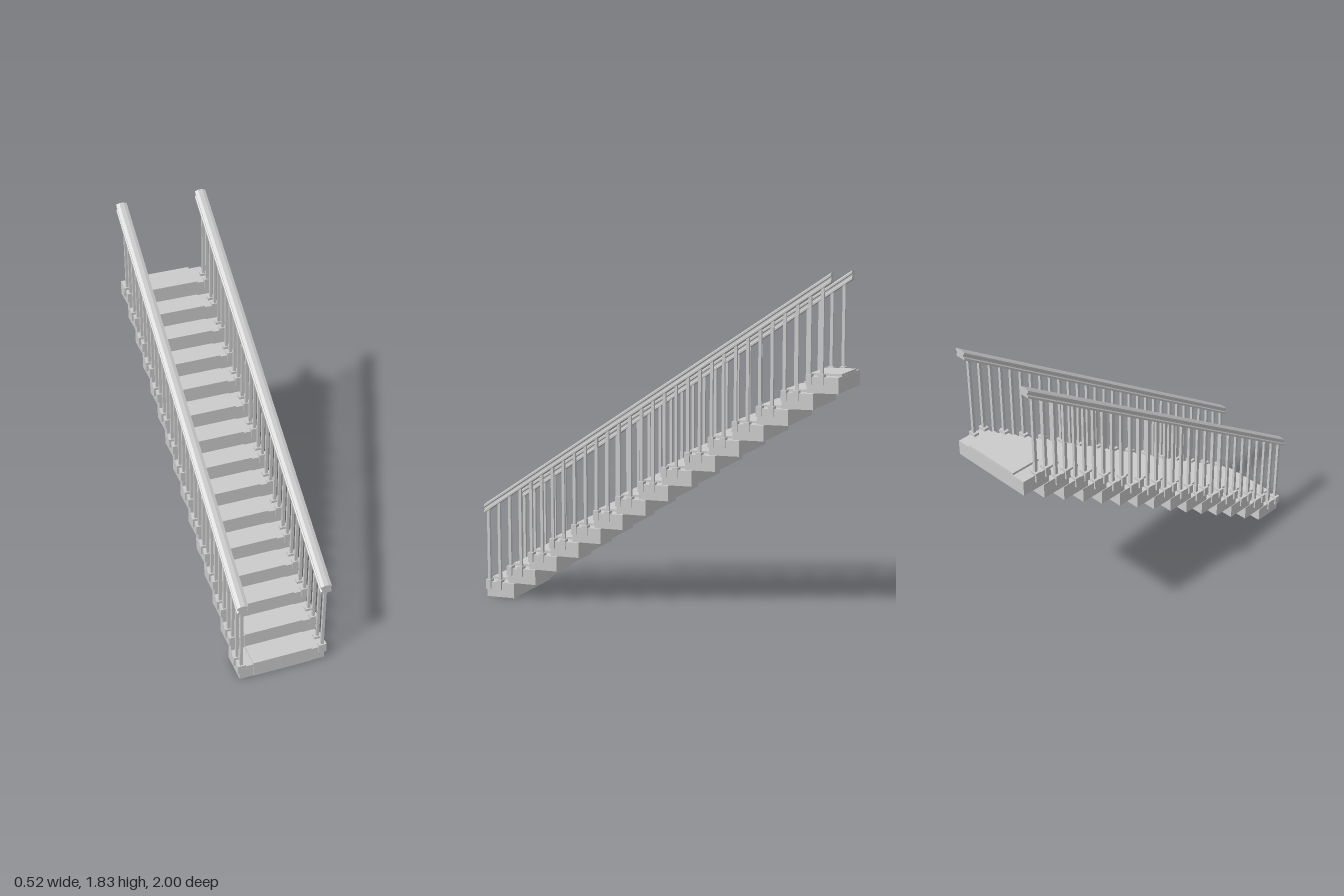
import * as THREE from 'three';

const STEPS = 15, RISE = 0.0868, RUN = 0.1307, DEPTH = 0.17;
const SLOPE = RISE / RUN;
const RAIL_BASE = 0.478, RAIL_X = 0.23, RAIL_BACK = -0.957;

const material = new THREE.MeshStandardMaterial({ color: 0xcccccc, flatShading: true });

// Box given by its limits on each axis
function block(name, x0, x1, y0, y1, z0, z1) {
  const mesh = new THREE.Mesh(new THREE.BoxGeometry(x1 - x0, y1 - y0, z1 - z0), material);
  mesh.position.set((x0 + x1) / 2, (y0 + y1) / 2, (z0 + z1) / 2);
  mesh.name = name;
  return mesh;
}

// Grooved moulding swept along the slope, with plumb-cut ends
function handrail() {
  const half = [[0.03, 0], [0.03, 0.012], [0.022, 0.017], [0.022, 0.027],
    [0.03, 0.032], [0.03, 0.043], [0.012, 0.05]];
  const outline = [...half, ...half.slice().reverse().map(([x, y]) => [-x, y])];
  const shape = new THREE.Shape(outline.map(([x, y]) => new THREE.Vector2(x, y)));
  const geo = new THREE.ExtrudeGeometry(shape, { depth: 1 - RAIL_BACK, bevelEnabled: false });
  geo.translate(0, 0, RAIL_BACK);
  const p = geo.attributes.position;
  for (let i = 0; i < p.count; i++) {
    p.setY(i, p.getY(i) + RAIL_BASE + (1 - p.getZ(i)) * SLOPE);
  }
  geo.computeVertexNormals();
  const mesh = new THREE.Mesh(geo, material);
  mesh.name = 'handrail';
  return mesh;
}

// One railing: handrail plus two footed balusters per step
function railing(side) {
  const group = new THREE.Group();
  group.name = side > 0 ? 'leftRailing' : 'rightRailing';
  const x = side * RAIL_X;
  const rail = handrail();
  rail.position.x = x;
  group.add(rail);
  for (let i = 0; i < STEPS; i++) {
    const top = i * RISE + 0.083;
    for (const offset of [0.015, 0.08]) {
      const z = 1 - i * RUN - offset;
      const railY = RAIL_BASE + (1 - z) * SLOPE + 0.008;
      group.add(block('baluster', x - 0.008, x + 0.008, top, railY, z - 0.008, z + 0.008));
      group.add(block('balusterFoot', x - 0.022, x + 0.022, top - 0.04, top + 0.014, z - 0.015, z + 0.015));
    }
  }
  return group;
}

export function createModel() {
  const model = new THREE.Group();
  model.name = 'staircase';

  // Overlapping solid steps with a raised runner down the middle
  for (let i = 0; i < STEPS; i++) {
    const y = i * RISE, front = 1 - i * RUN;
    model.add(block('step', -0.242, 0.242, y, y + 0.083, front - DEPTH, front - 0.004));
    model.add(block('runner', -0.165, 0.165, y + 0.001, y + 0.095, front - DEPTH + 0.001, front));
  }

  model.add(railing(1), railing(-1));
  return model;
}
